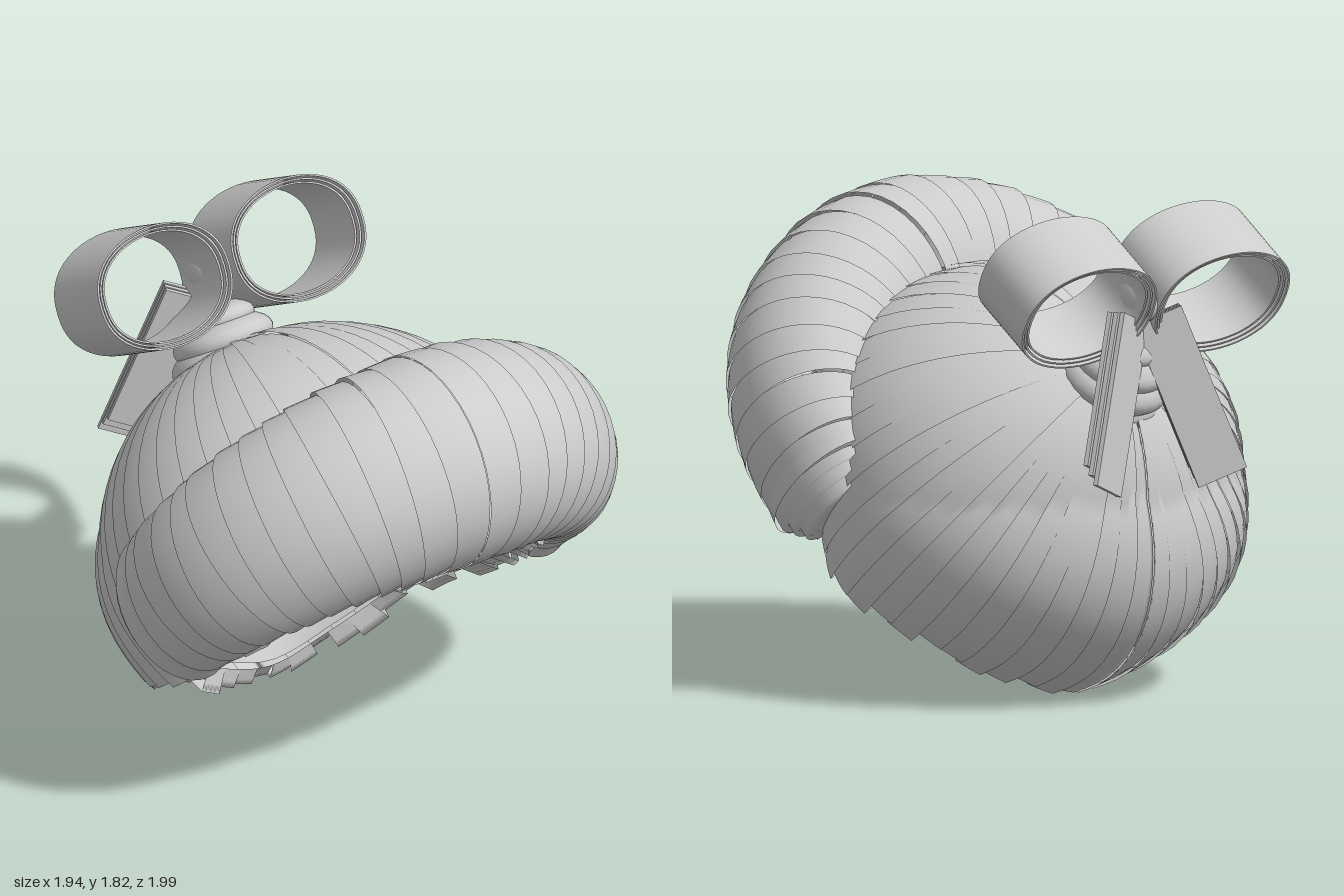
import * as THREE from 'three';
import { ParametricGeometry } from 'three/addons/geometries/ParametricGeometry.js';

const V = (x, y, z) => new THREE.Vector3(x, y, z);
const hair = new THREE.MeshStandardMaterial({ color: 0xcccccc, side: THREE.DoubleSide });
hair.name = 'light grey';

let seed = 7;
const rand = () => ((seed = (seed * 16807) % 2147483647) / 2147483647);

function add(parent, name, geometry) {
  const mesh = new THREE.Mesh(geometry, hair);
  mesh.name = name;
  parent.add(mesh);
  return mesh;
}
const surface = (parent, name, fn, nu, nv) => add(parent, name, new ParametricGeometry(fn, nu, nv));
function part(root, name) {
  const g = new THREE.Group();
  g.name = name;
  root.add(g);
  return g;
}

// Head ellipsoid, and the closed hairline that the strands run down to
const CENTER = V(0, 0.78, -0.02), RADII = V(0.83, 0.76, 0.82);
const POLE = V(0, 0.62, -0.75).normalize();
const half = [
  [0, 1.0, 0.72], [0.35, 0.98, 0.68], [0.58, 0.8, 0.48], [0.68, 0.62, 0.25],
  [0.75, 0.43, 0], [0.62, 0.27, -0.24], [0.32, 0.11, -0.34], [0, 0.02, -0.37],
];
const loop = [...half, ...half.slice(1, -1).reverse().map(([x, y, z]) => [-x, y, z])];
const hairline = new THREE.CatmullRomCurve3(loop.map((p) => V(...p)), true);
const inward = (p) => V(p.x * 0.84, p.y + 0.06, p.z);

// Point on a strand swept from the crown (s = 0) to the hairline point h (s = 1)
function strand(h, s, scale) {
  const e = h.clone().sub(CENTER).divide(RADII);
  const end = e.length();
  e.divideScalar(end);
  const angle = POLE.angleTo(e), k = Math.sin(angle);
  const d = POLE.clone().multiplyScalar(Math.sin((1 - s) * angle) / k)
    .addScaledVector(e, Math.sin(s * angle) / k);
  const bulge = d.y < 0 && d.z < 0 ? 0.32 * d.y * d.z : 0;
  const r = THREE.MathUtils.lerp(1 + bulge, end, Math.min(1, s ** 5));
  return d.multiplyScalar(r * scale).multiply(RADII).add(CENTER);
}

// Overlapping locks over the head, their ends tucked under the hairline
function buildCap(root) {
  const cap = part(root, 'headHair'), perSide = 24;
  for (const side of [1, -1]) {
    for (let i = 0; i < perSide; i++) {
      const reach = 0.97 + rand() * 0.05, puff = 0.99 + rand() * 0.01;
      surface(cap, 'headLock', (u, v, out) => {
        const t = Math.min(1, (i + u * 1.15) / perSide) * 0.5;
        const h = hairline.getPointAt(side > 0 ? t : (1 - t) % 1);
        const s = Math.min(1, v / 0.88);
        const p = strand(h, 0.02 + s * (reach - 0.02), puff + 0.02 * u * s);
        if (v > 0.88) p.lerp(inward(h), (v - 0.88) / 0.12);
        out.copy(p);
      }, 4, 25);
    }
  }
  // Smooth lining inside
  surface(cap, 'lining', (u, v, out) => {
    const h = inward(hairline.getPointAt(u % 1));
    out.copy(strand(h, 0.01 + v * 0.99, 0.955));
  }, 64, 20);
}

// Large rolled fringe: a tapering tube on a tilted arch
const UP = V(0, 0.75, 0.66), DEPTH = V(0, -0.66, 0.75);
function rollPoint(t, a, scale, out) {
  const k = Math.min(1, Math.abs(t) / 1.57);
  const radial = V(Math.sin(t), 0, 0).addScaledVector(UP, Math.cos(t));
  const ra = THREE.MathUtils.lerp(0.395, 0.2, k ** 1.3) * scale;
  const rb = THREE.MathUtils.lerp(0.4, 0.28, k ** 1.5) * scale;
  out.set(0.755 * Math.sin(t), 0.82 + 0.55 * Math.cos(t), 0.1 + 0.48 * Math.cos(t))
    .addScaledVector(radial, ra * Math.cos(a)).addScaledVector(DEPTH, rb * Math.sin(a));
}
function buildRoll(root) {
  const roll = part(root, 'frontRoll'), perSide = 13, end = 1.62;
  for (const side of [1, -1]) {
    for (let i = 0; i < perSide; i++) {
      const puff = 0.98 + rand() * 0.012, slant = (rand() - 0.5) * 0.05;
      surface(roll, 'rollLock', (u, v, out) => {
        const a = v * Math.PI * 2;
        const t = (i + u * 1.12) / perSide * end + (i && u * slant * Math.sin(a));
        rollPoint(side * t, a, puff + 0.035 * (i ? u : 1) * (i ? 1 : 0.6), out);
      }, 5, 40);
    }
    // Stepped layers closing each end
    for (let j = 0; j < 3; j++) {
      surface(roll, 'rollEnd', (u, v, out) => {
        const q = Math.min(1, u * 2), t = end + 0.05 * (j + q);
        rollPoint(side * t, v * Math.PI * 2, (0.96 - 0.12 * j) * (u < 0.5 ? 1 : 2 - 2 * u), out);
      }, 4, 32);
    }
  }
}

// Layered bun at the crown
function buildBun(root) {
  const bun = part(root, 'bun');
  [0.2, 0.215, 0.19, 0.14].forEach((r, i) => {
    const m = add(bun, 'bunLayer', new THREE.SphereGeometry(r, 28, 14));
    m.position.set(0, 1.16 + i * 0.065, -0.61 - i * 0.035);
    m.scale.y = 0.45;
    m.rotation.x = -0.6;
  });
}

// Bow: nested ribbon loops, a knot and two layered tails
function buildBow(root) {
  const bow = part(root, 'bow');
  const mid = V(0, 1.56, -0.76), L = V(0, 0.87, -0.49), W = V(0, -0.49, -0.87);
  for (const side of [1, -1]) {
    for (let j = 0; j < 3; j++) {
      const size = 1 - j * 0.055, w = 0.155 - j * 0.008;
      // Closed band section: outer face, far edge, inner face, near edge
      const section = [[-w, 0], [w, 0], [w, 0.014], [-w, 0.014], [-w, 0]];
      for (let f = 0; f < 4; f++) {
        surface(bow, 'bowLoop', (u, v, out) => {
          const a = u * Math.PI * 2, s = Math.sin(a);
          const across = THREE.MathUtils.lerp(section[f][0], section[f + 1][0], v);
          const k = size - THREE.MathUtils.lerp(section[f][1], section[f + 1][1], v) * 2;
          out.copy(mid).addScaledVector(L, 0.225 * k * Math.sign(s) * Math.abs(s) ** 0.85)
            .addScaledVector(W, across);
          out.x = side * (0.01 + 0.285 * (1 - Math.cos(a) * k));
        }, 48, 1);
      }
    }
    for (let j = 0; j < 3; j++) {
      const tail = add(bow, 'bowTail', new THREE.BoxGeometry(0.19, 0.64 - j * 0.035, 0.018));
      tail.geometry.translate(0, -0.32 + j * 0.0175, j * 0.026);
      tail.position.set(side * 0.05, 1.45, -0.83);
      tail.rotation.set(0.03, side * 0.45, side * 0.38, 'YXZ');
    }
  }
  const knot = add(bow, 'bowKnot', new THREE.SphereGeometry(0.085, 24, 16));
  knot.position.set(0, 1.52, -0.79);
  knot.scale.set(0.7, 1, 1.25);
  knot.rotation.x = -0.5;
}

export function createModel() {
  seed = 7;
  const root = new THREE.Group();
  root.name = 'wig';
  buildCap(root);
  buildRoll(root);
  buildBun(root);
  buildBow(root);
  return root;
}
